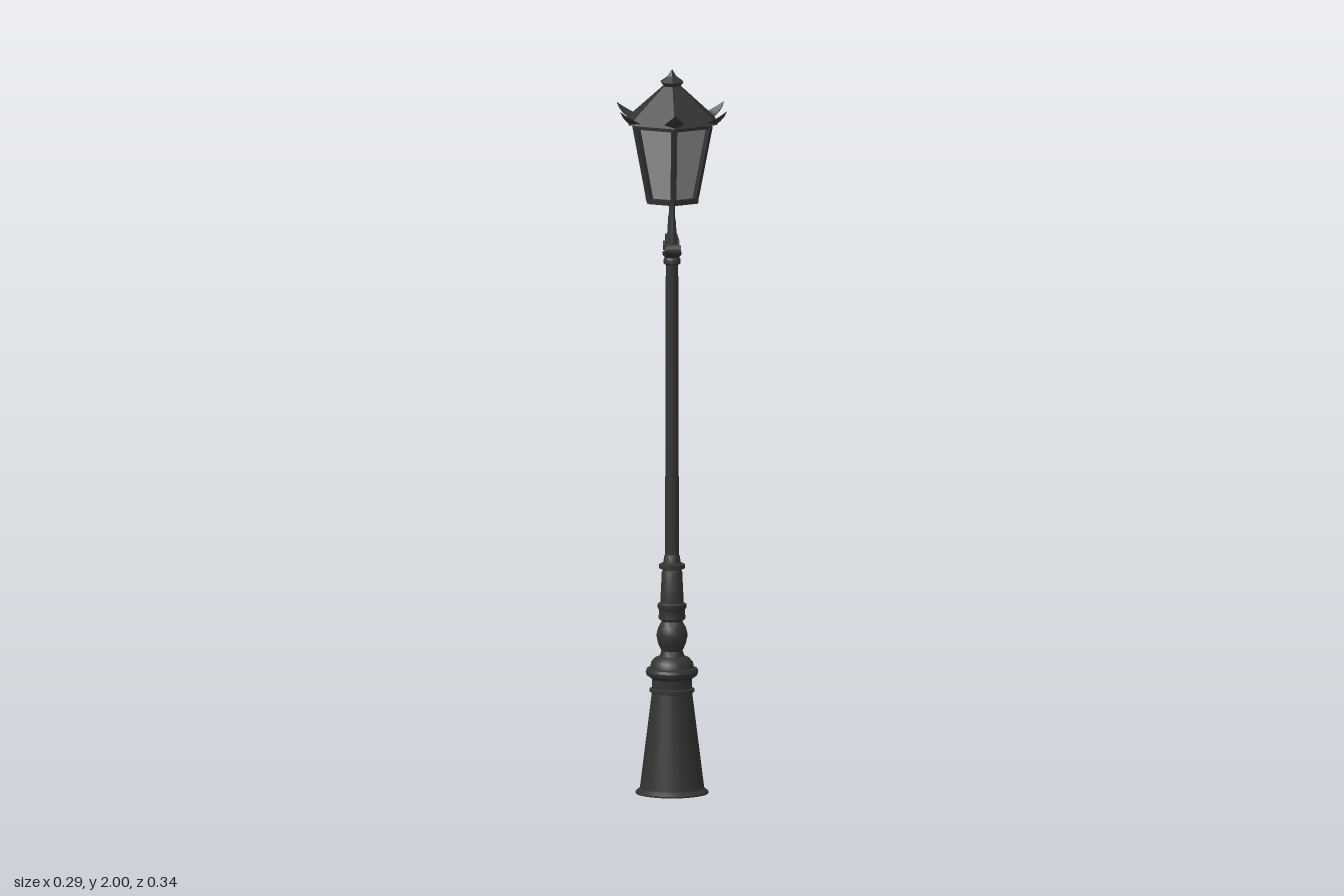
import * as THREE from 'three';
import { toCreasedNormals } from 'three/addons/utils/BufferGeometryUtils.js';

const metal = new THREE.MeshStandardMaterial({ color: 0x333333, side: THREE.DoubleSide });
metal.name = 'dark iron';
const glass = new THREE.MeshStandardMaterial({ color: 0x949494, side: THREE.DoubleSide });
glass.name = 'grey glass';

const part = (parent, name, geometry, material = metal) => {
  const mesh = new THREE.Mesh(geometry, material);
  mesh.name = name;
  parent.add(mesh);
  return mesh;
};

// Turned part from [radius, height] pairs, sharp at the mouldings
const turned = (profile, sides) => toCreasedNormals(
  new THREE.LatheGeometry(profile.map(([r, y]) => new THREE.Vector2(r, y)), sides), 0.6);

// Six-sided frustum with corners on +z and -z, crisp faces
const hex = (top, bottom, y0, y1, open = false) => toCreasedNormals(
  new THREE.CylinderGeometry(top, bottom, y1 - y0, 6, 1, open).translate(0, (y0 + y1) / 2, 0), 0.3);

// Folded, upswept corner leaf pointing to +z
function leafGeometry() {
  const sections = [ // distance out, height, half width
    [0.118, 1.855, 0.022], [0.136, 1.859, 0.027], [0.148, 1.868, 0.022],
    [0.16, 1.881, 0.013], [0.169, 1.897, 0.001]];
  const pos = [], index = [];
  sections.forEach(([r, y, w], i) => {
    pos.push(-w, y + w * 0.3, r - w * 0.35, 0, y, r, w, y + w * 0.3, r - w * 0.35);
    if (i === 0) return;
    for (let k = 0; k < 2; k++) {
      const a = (i - 1) * 3 + k, b = a + 3;
      index.push(a, b, a + 1, a + 1, b, b + 1);
    }
  });
  const g = new THREE.BufferGeometry();
  g.setAttribute('position', new THREE.Float32BufferAttribute(pos, 3));
  g.setIndex(index);
  return toCreasedNormals(g, 0.5);
}

export function createModel() {
  const model = new THREE.Group();
  model.name = 'streetLamp';

  // Flared pedestal
  part(model, 'pedestal', turned([
    [0, 0], [0.1, 0], [0.1, 0.004], [0.088, 0.014], [0.055, 0.278], [0.061, 0.28], [0.061, 0.288],
    [0.054, 0.291], [0.055, 0.316], [0.069, 0.326], [0.072, 0.336], [0.069, 0.344],
    [0.06, 0.347], [0.057, 0.362], [0.047, 0.373], [0.034, 0.379]], 24));

  // Vase and collars between pedestal and pole
  part(model, 'vase', turned([
    [0.034, 0.379], [0.029, 0.393], [0.038, 0.413], [0.043, 0.437], [0.038, 0.457], [0.028, 0.475],
    [0.037, 0.482], [0.035, 0.505], [0.039, 0.512], [0.039, 0.522], [0.032, 0.527],
    [0.028, 0.61], [0.025, 0.618], [0.035, 0.621], [0.035, 0.632], [0.024, 0.637],
    [0.021, 0.655], [0.018, 0.66]], 20));

  // Long slender pole with its capital
  part(model, 'pole', turned([
    [0.019, 0.65], [0.017, 1.46], [0.023, 1.464], [0.023, 1.476], [0.02, 1.481], [0.026, 1.488], [0.026, 1.496], [0, 1.5]], 16));

  // Yoke: crossbar along z, rounded ends and two upright arms
  const yoke = new THREE.Group();
  yoke.name = 'yoke';
  model.add(yoke);
  const bar = new THREE.Shape();
  bar.moveTo(-0.026, 1.488);
  bar.lineTo(0.026, 1.488);
  bar.quadraticCurveTo(0.052, 1.492, 0.053, 1.505);
  bar.quadraticCurveTo(0.052, 1.52, 0.04, 1.522);
  bar.lineTo(0.036, 1.54);
  bar.quadraticCurveTo(0, 1.53, -0.036, 1.54);
  bar.lineTo(-0.04, 1.522);
  bar.quadraticCurveTo(-0.052, 1.52, -0.053, 1.505);
  bar.quadraticCurveTo(-0.052, 1.492, -0.026, 1.488);
  const barGeo = new THREE.ExtrudeGeometry(bar, { depth: 0.034, bevelEnabled: false, curveSegments: 6 });
  part(yoke, 'crossbar', toCreasedNormals(barGeo.translate(0, 0, -0.017).rotateY(Math.PI / 2), 0.6));
  for (const s of [-1, 1]) {
    const end = part(yoke, 'crossbarEnd', new THREE.CylinderGeometry(0.013, 0.013, 0.044, 12));
    end.rotation.z = Math.PI / 2;
    end.position.set(0, 1.507, s * 0.04);
    const arm = part(yoke, 'arm', turned([
      [0.013, 1.525], [0.011, 1.545], [0.009, 1.585], [0.006, 1.602], [0.006, 1.64]], 10));
    arm.position.z = s * 0.038;
  }

  // Six-sided lantern
  const lantern = new THREE.Group();
  lantern.name = 'lantern';
  model.add(lantern);
  part(lantern, 'floorPlate', hex(0.082, 0.08, 1.635, 1.65));
  part(lantern, 'panes', hex(0.114, 0.071, 1.648, 1.853, true), glass);
  part(lantern, 'topRail', hex(0.124, 0.122, 1.845, 1.858));

  // Corner struts and leaves
  const leaf = leafGeometry();
  const foot = new THREE.Vector3(0, 1.645, 0.068), head = new THREE.Vector3(0, 1.852, 0.112);
  const strut = new THREE.BoxGeometry(0.016, foot.distanceTo(head), 0.018);
  for (let i = 0; i < 6; i++) {
    const corner = new THREE.Group();
    corner.name = 'corner';
    corner.rotation.y = i * Math.PI / 3;
    lantern.add(corner);
    const post = part(corner, 'strut', strut);
    post.position.addVectors(foot, head).multiplyScalar(0.5);
    post.rotation.x = Math.atan2(head.z - foot.z, head.y - foot.y);
    part(corner, 'leaf', leaf);
  }

  // Roof and finial
  part(lantern, 'roof', hex(0.026, 0.14, 1.857, 1.955));
  part(lantern, 'finialNeck', hex(0.034, 0.022, 1.952, 1.966));
  part(lantern, 'finialCap', hex(0.012, 0.035, 1.966, 1.982));
  part(lantern, 'finialTip', hex(0.001, 0.013, 1.982, 2));
  return model;
}
